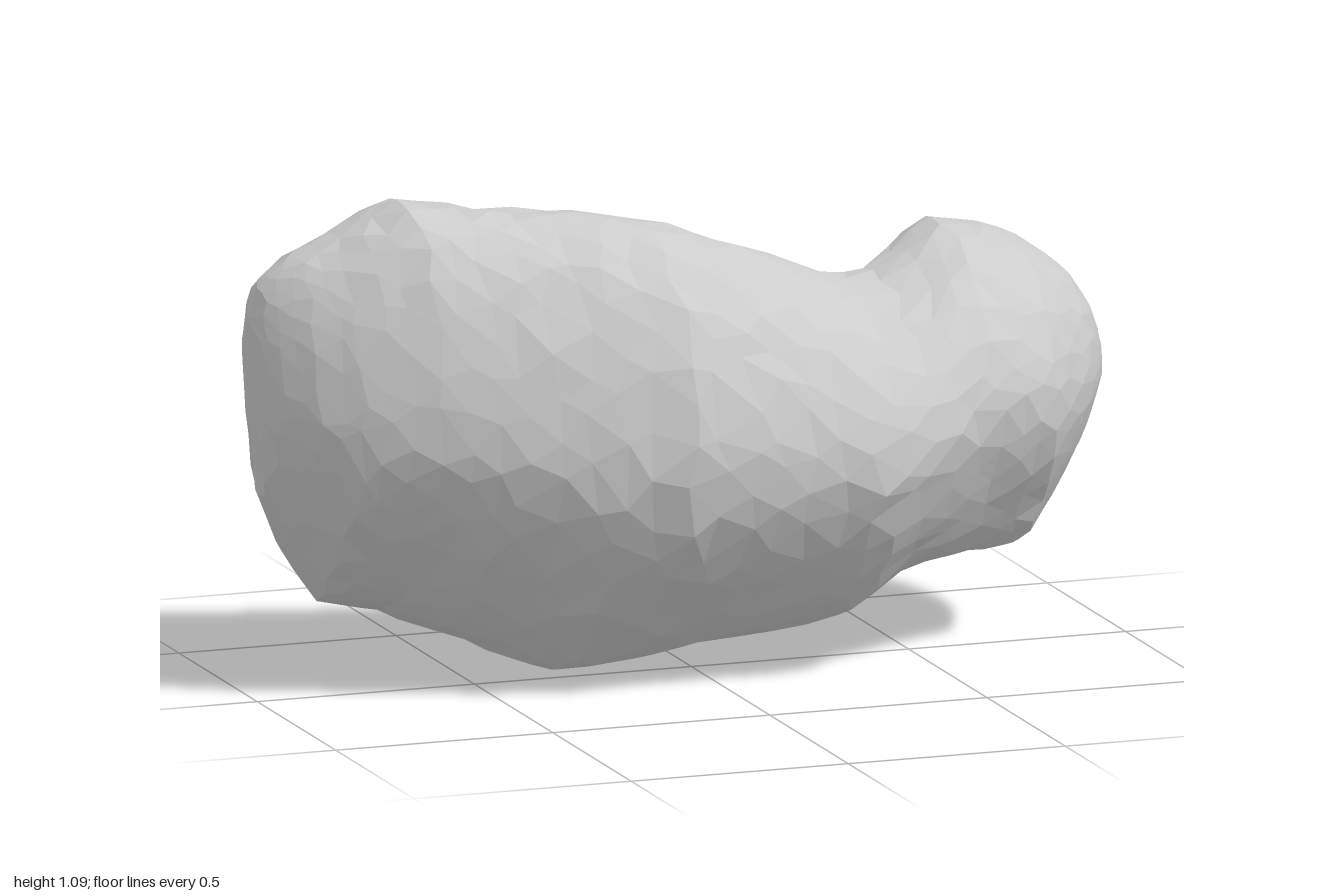
import * as THREE from 'three';

// Cross-sections along the long axis: x, bottom, top, back, front, lean of the top towards the front
const SECTIONS = [
  [-1.0, 0.78, 0.89, -0.1, -0.03, 0],
  [-0.97, 0.45, 0.93, -0.18, 0.04, 0.02],
  [-0.9, 0.31, 0.98, -0.31, 0.13, 0.05],
  [-0.81, 0.18, 1.02, -0.38, 0.205, 0.07],
  [-0.68, 0.15, 1.09, -0.425, 0.27, 0.08],
  [-0.5, 0.08, 1.06, -0.42, 0.335, 0.08],
  [-0.3, 0.005, 1.045, -0.38, 0.39, 0.08],
  [-0.13, 0.03, 1.02, -0.35, 0.43, 0.06],
  [0.0, 0.065, 0.97, -0.32, 0.41, 0.03],
  [0.2, 0.09, 0.9, -0.3, 0.39, -0.02],
  [0.32, 0.125, 0.84, -0.29, 0.405, -0.05],
  [0.44, 0.22, 0.84, -0.27, 0.36, -0.07],
  [0.6, 0.22, 0.92, -0.36, 0.28, -0.08],
  [0.77, 0.215, 0.88, -0.42, 0.21, -0.06],
  [0.85, 0.28, 0.835, -0.44, 0.13, -0.04],
  [0.92, 0.37, 0.78, -0.38, 0.04, -0.02],
  [0.97, 0.47, 0.7, -0.3, -0.06, 0],
  [1.0, 0.58, 0.62, -0.23, -0.19, 0],
];
const RINGS = 38;
const SIDES = 30;

function sectionAt(x) {
  let i = 0;
  while (i < SECTIONS.length - 2 && x > SECTIONS[i + 1][0]) i++;
  const a = SECTIONS[i], b = SECTIONS[i + 1];
  const t = THREE.MathUtils.clamp((x - a[0]) / (b[0] - a[0]), 0, 1);
  return a.map((v, k) => v + (b[k] - v) * t);
}

function seeded(seed) {
  return () => {
    seed = (seed * 16807) % 2147483647;
    return seed / 2147483647;
  };
}

// Rings crowd together towards the blunt ends
function ringX(i) {
  const t = i / RINGS;
  return THREE.MathUtils.lerp(2 * t - 1, -Math.cos(Math.PI * t), 0.7);
}

// Point on the two-lobed body: undersides narrow to a keel, the small lobe has a squarer top
function surfacePoint(x, angle, swell) {
  const [, bottom, top, back, front, lean] = sectionAt(x);
  const s = Math.sin(angle), c = Math.cos(angle);
  const lobe = THREE.MathUtils.smoothstep(x, 0.4, 0.65);
  const taper = s < 0
    ? 1 - (0.4 + 0.1 * lobe) * Math.pow(-s, 1.5)
    : 1 - (0.13 - 0.21 * lobe) * s * s;
  return [
    x,
    (top + bottom) / 2 + ((top - bottom) / 2) * s * swell,
    (back + front) / 2 + ((front - back) / 2) * c * taper * swell + lean * s * Math.abs(s),
  ];
}

// Staggered, jittered rings joined by triangles and closed by a point at each end
function rockGeometry() {
  const random = seeded(71);
  const positions = [-1, 0.84, -0.06];
  for (let i = 1; i < RINGS; i++) {
    const gap = (ringX(i + 1) - ringX(i - 1)) / 2;
    for (let j = 0; j < SIDES; j++) {
      const x = ringX(i) + (random() - 0.5) * 0.6 * gap;
      const angle = ((j + (i % 2) / 2 + (random() - 0.5) * 0.55) * 2 * Math.PI) / SIDES;
      positions.push(...surfacePoint(x, angle, 0.997 + random() * 0.022));
    }
  }
  positions.push(1, 0.6, -0.21);

  const last = positions.length / 3 - 1;
  const at = (i, j) => 1 + (i - 1) * SIDES + (j % SIDES);
  const indices = [];
  for (let j = 0; j < SIDES; j++) {
    indices.push(0, at(1, j), at(1, j + 1));
    indices.push(at(RINGS - 1, j), last, at(RINGS - 1, j + 1));
    for (let i = 1; i < RINGS - 1; i++) {
      const a = at(i, j), a2 = at(i, j + 1);
      const b = at(i + 1, j), b2 = at(i + 1, j + 1);
      if (i % 2 === 0) indices.push(a, b, a2, b, b2, a2);
      else indices.push(b, b2, a, a, b2, a2);
    }
  }

  const geometry = new THREE.BufferGeometry();
  geometry.setAttribute('position', new THREE.Float32BufferAttribute(positions, 3));
  geometry.setIndex(indices);
  geometry.computeVertexNormals();
  geometry.computeBoundingBox();
  geometry.translate(0, -geometry.boundingBox.min.y, 0);
  return geometry;
}

export function createModel() {
  const group = new THREE.Group();
  group.name = 'asteroid';
  const rock = new THREE.Mesh(
    rockGeometry(),
    new THREE.MeshStandardMaterial({ color: 0xcccccc, flatShading: true })
  );
  rock.name = 'rockBody';
  group.add(rock);
  return group;
}
